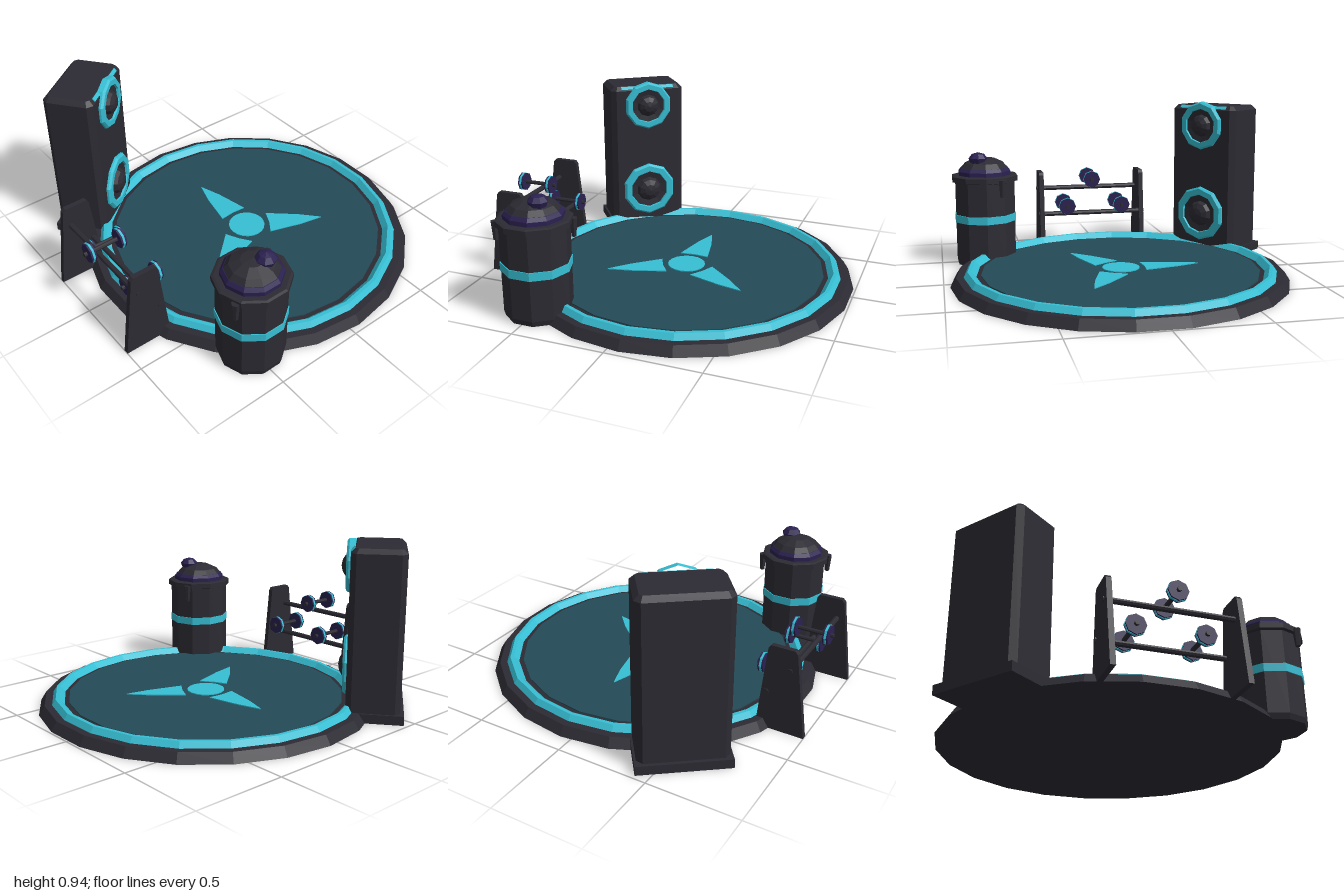
import * as THREE from 'three';

const mat = (name, color) => {
  const m = new THREE.MeshStandardMaterial({ color });
  m.name = name;
  return m;
};

export function createModel() {
  const dark = mat('charcoal', 0x2c2b33);
  const cyan = mat('cyan', 0x37bfd4);
  const teal = mat('deep teal', 0x244b57);
  const purple = mat('dark purple', 0x2b2150);

  const root = new THREE.Group();
  root.name = 'trainingPad';

  // Faceted mesh: flat normals baked into the geometry
  const add = (parent, name, geometry, material, x = 0, y = 0, z = 0) => {
    const g = geometry.index ? geometry.toNonIndexed() : geometry;
    g.computeVertexNormals();
    const mesh = new THREE.Mesh(g, material);
    mesh.name = name;
    mesh.position.set(x, y, z);
    parent.add(mesh);
    return mesh;
  };
  const group = (name, x, z, turn = 0) => {
    const g = new THREE.Group();
    g.name = name;
    g.position.set(x, 0, z);
    g.rotation.y = turn;
    root.add(g);
    return g;
  };
  const lathe = (points, sides) =>
    new THREE.LatheGeometry(points.map(([r, y]) => new THREE.Vector2(r, y)), sides);
  const polygon = (points) => new THREE.Shape(points.map(([x, y]) => new THREE.Vector2(x, y)));
  const rod = (r, length, axis, sides = 8) => {
    const g = new THREE.CylinderGeometry(r, r, length, sides);
    return axis === 'x' ? g.rotateZ(-Math.PI / 2) : g.rotateX(Math.PI / 2);
  };

  // Round platform with a raised glowing rim
  const pad = group('platform', 0.06, 0.03);
  add(pad, 'platformBase', lathe([[0, 0], [0.937, 0], [0.905, 0.05], [0, 0.05]], 22), dark);
  add(pad, 'glowingRim', lathe([[0.865, 0.05], [0.845, 0.08], [0.825, 0.08], [0.797, 0.05]], 22), cyan);
  add(pad, 'floorDisc', lathe([[0.772, 0.05], [0.772, 0.056], [0, 0.056]], 22), teal);
  add(pad, 'floorHub', new THREE.CylinderGeometry(0.105, 0.105, 0.006, 20), cyan, 0, 0.058, 0);
  const blade = polygon([[-0.082, 0.128], [0, 0.135], [0.082, 0.128], [0.042, 0.32], [0, 0.45], [-0.042, 0.32]]);
  for (let i = 0; i < 3; i++) {
    const g = new THREE.ExtrudeGeometry(blade, { depth: 0.006, bevelEnabled: false });
    g.rotateX(-Math.PI / 2).rotateY((i * 2 * Math.PI) / 3);
    add(pad, 'floorBlade', g, cyan, 0, 0.055, 0);
  }

  // Tall speaker with chamfered cabinet, facing the platform
  const speaker = group('speaker', -0.52, -0.705, 0.66);
  const w = 0.2285, d = 0.144, c = 0.03, bevel = 0.025;
  const outline = polygon([
    [-w + c, -d], [w - c, -d], [w, -d + c], [w, d - c],
    [w - c, d], [-w + c, d], [-w, d - c], [-w, -d + c],
  ]);
  const cabinet = new THREE.ExtrudeGeometry(outline, {
    depth: 0.92 - 2 * bevel, bevelThickness: bevel, bevelSize: bevel, bevelOffset: -bevel, bevelSegments: 1,
  });
  add(speaker, 'speakerCabinet', cabinet.rotateX(-Math.PI / 2), dark, 0, bevel, 0);
  add(speaker, 'speakerPlinth', new THREE.BoxGeometry(0.48, 0.05, 0.305), dark, 0, 0.025, -0.01);
  const strip = add(speaker, 'speakerTopStrip', new THREE.BoxGeometry(0.33, 0.022, 0.009), cyan, 0, 0.908, d - 0.0125);
  strip.rotation.x = -Math.PI / 4;
  for (const [name, y, r] of [['upper', 0.797, 0.147], ['lower', 0.248, 0.168]]) {
    const k = r * 0.72;
    const driver = (profile) => lathe(profile, 10).rotateX(Math.PI / 2);
    add(speaker, name + 'SpeakerRing',
      driver([[r, -0.02], [r, 0.012], [r * 0.93, 0.024], [k, 0.024], [k * 0.95, 0]]), cyan, 0, y, d);
    add(speaker, name + 'SpeakerSurround', driver([[k, 0.012], [k * 0.65, 0.006], [0, 0.006]]), dark, 0, y, d);
    add(speaker, name + 'SpeakerDome',
      driver([[k * 0.66, 0.004], [k * 0.55, 0.03], [k * 0.3, 0.046], [0, 0.052]]), dark, 0, y, d);
  }

  // Barrel with a banded body, tipped lid and knob
  const barrel = group('barrel', -0.49, 0.738);
  const ten = (name, profile, material) => {
    add(barrel, name, lathe(profile, 10).rotateY(Math.PI / 10), material);
  };
  ten('barrelBody', [[0, 0], [0.172, 0], [0.18, 0.03], [0.18, 0.5]], dark);
  ten('barrelBand', [[0.18, 0.255], [0.185, 0.255], [0.185, 0.3], [0.18, 0.3]], cyan);
  ten('barrelRim', [[0.18, 0.49], [0.198, 0.495], [0.198, 0.525], [0.185, 0.53], [0, 0.53]], dark);
  ten('lidCollar', [[0.157, 0.53], [0.157, 0.553], [0.142, 0.572], [0, 0.572]], purple);
  ten('lidDome', [[0.145, 0.565], [0.115, 0.6], [0.06, 0.625], [0, 0.632]], dark);
  add(barrel, 'lidKnob', lathe([[0.04, 0], [0.055, 0.04], [0.035, 0.065], [0, 0.075]], 8), purple, 0.05, 0.592, 0.038);
  for (const s of [-1, 1]) {
    const clip = add(barrel, 'barrelClip', new THREE.CylinderGeometry(0.022, 0.014, 0.1, 6), dark,
      s * 0.172, 0.463, -s * 0.09);
    clip.rotation.y = s * 0.5;
  }

  // Weight rack: two tapered side panels joined by bars
  const rack = group('weightRack', 0, 0);
  const panel = polygon([[-1, 0], [-0.735, 0], [-0.785, 0.465], [-0.797, 0.482], [-0.925, 0.482], [-0.94, 0.465]]);
  for (const z of [-0.289, 0.362]) {
    const g = new THREE.ExtrudeGeometry(panel, { depth: 0.028, bevelEnabled: false });
    add(rack, 'rackPanel', g, dark, 0, 0, z - 0.014);
  }
  for (const [x, y] of [[-0.905, 0.365], [-0.785, 0.215]]) {
    add(rack, 'rackBar', rod(0.015, 0.69, 'z'), dark, x, y, 0.0365);
  }

  // Dumbbells: eight-sided weights with a glowing band
  for (const [x, y, z] of [[-0.88, 0.43, 0.035], [-0.785, 0.275, 0.211], [-0.785, 0.275, -0.14]]) {
    const bell = group('dumbbell', x, z);
    bell.position.y = y;
    add(bell, 'dumbbellHandle', rod(0.012, 0.24, 'x'), dark);
    for (const s of [-1, 1]) {
      add(bell, 'dumbbellWeight', rod(0.053, 0.03, 'x'), purple, s * 0.088, 0, 0);
      add(bell, 'dumbbellBand', rod(0.055, 0.012, 'x'), cyan, s * 0.088, 0, 0);
    }
  }
  return root;
}
